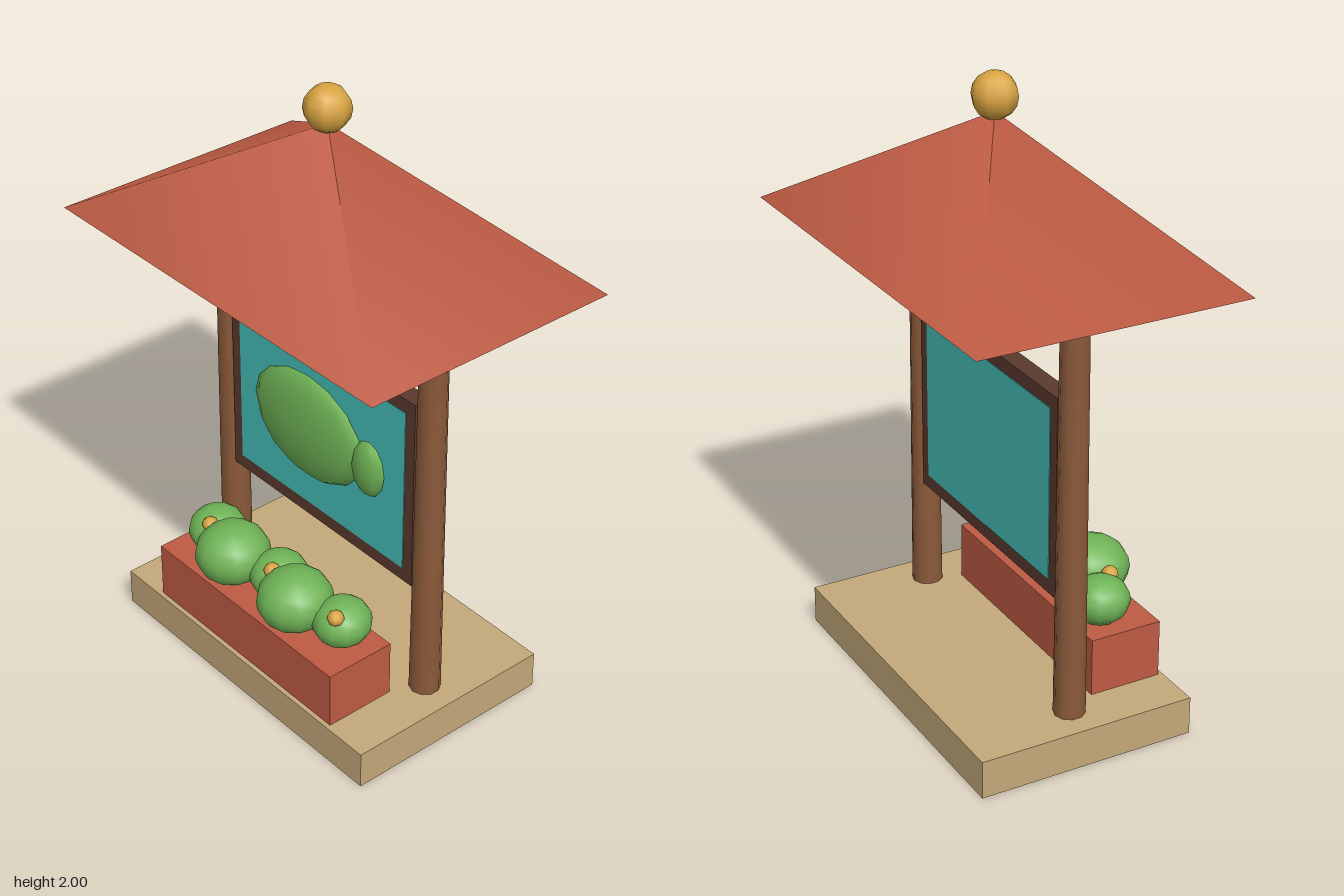
import * as THREE from 'three';

const mat = (name, color) => {
  const m = new THREE.MeshStandardMaterial({ color });
  m.name = name;
  return m;
};

export function createModel() {
  const sand = mat('sandstone', 0xc4a87a);
  const brick = mat('terracotta', 0xbe5b43);
  const wood = mat('post wood', 0x8b5a3a);
  const darkWood = mat('frame wood', 0x5a3a2e);
  const teal = mat('teal panel', 0x45beb7);
  const green = mat('leaf green', 0x6fb356);
  const gold = mat('gold', 0xd9a441);
  const cream = mat('lantern cream', 0xdcd2b8);

  const model = new THREE.Group();
  model.name = 'noticeKiosk';

  const add = (name, geometry, material, x, y, z) => {
    const mesh = new THREE.Mesh(geometry, material);
    mesh.name = name;
    mesh.position.set(x, y, z);
    model.add(mesh);
    return mesh;
  };
  const box = (name, w, h, d, material, x, y, z) =>
    add(name, new THREE.BoxGeometry(w, h, d), material, x, y, z);
  const ball = (name, rx, ry, rz, material, x, y, z, ws = 8, hs = 6) =>
    add(name, new THREE.SphereGeometry(1, ws, hs).scale(rx, ry, rz), material, x, y, z);

  // Plinth and planter
  box('base', 1.16, 0.125, 0.72, sand, 0, 0.0625, 0);
  box('planter', 0.84, 0.19, 0.24, brick, 0, 0.22, 0.225);

  // Posts
  for (const [name, side] of [['leftPost', 1], ['rightPost', -1]]) {
    add(name, new THREE.CylinderGeometry(0.043, 0.05, 1.355, 10), wood, side * 0.465, 0.7975, 0);
  }

  // Hipped roof with a finial
  const roof = new THREE.ConeGeometry(Math.SQRT2, 0.41, 4).rotateY(Math.PI / 4).scale(0.7, 1, 0.44);
  add('roof', roof, brick, 0, 1.675, 0);
  ball('finial', 0.072, 0.072, 0.072, gold, 0, 1.928, 0, 8, 8);

  // Hanging lantern
  ball('lantern', 0.066, 0.067, 0.058, cream, 0, 1.353, 0.175);

  // Sign: four frame rails around a panel seen from both sides
  for (const s of [-1, 1]) {
    box('frameRail', 0.85, 0.047, 0.06, darkWood, 0, 0.829 + s * 0.3035, 0);
    box('frameStile', 0.04, 0.56, 0.06, darkWood, s * 0.404, 0.829, 0);
  }
  box('panel', 0.77, 0.562, 0.064, teal, 0, 0.829, 0);

  // Fish relief
  ball('fishBody', 0.255, 0.18, 0.047, green, -0.05, 0.842, 0.035, 10, 8);
  ball('fishTail', 0.07, 0.095, 0.035, green, 0.23, 0.832, 0.035);

  // Shrubs, small and large in turn, with a bloom on each small one
  [-0.31, -0.155, 0, 0.15, 0.302].forEach((x, i) => {
    if (i % 2) {
      ball('largeShrub', 0.119, 0.1, 0.122, green, x, 0.405, 0.257, 12, 10);
    } else {
      ball('smallShrub', 0.092, 0.077, 0.095, green, x, 0.38, 0.197, 12, 10);
      ball('bloom', 0.027, 0.025, 0.027, gold, x + 0.032, 0.438, 0.25);
    }
  });

  return model;
}
